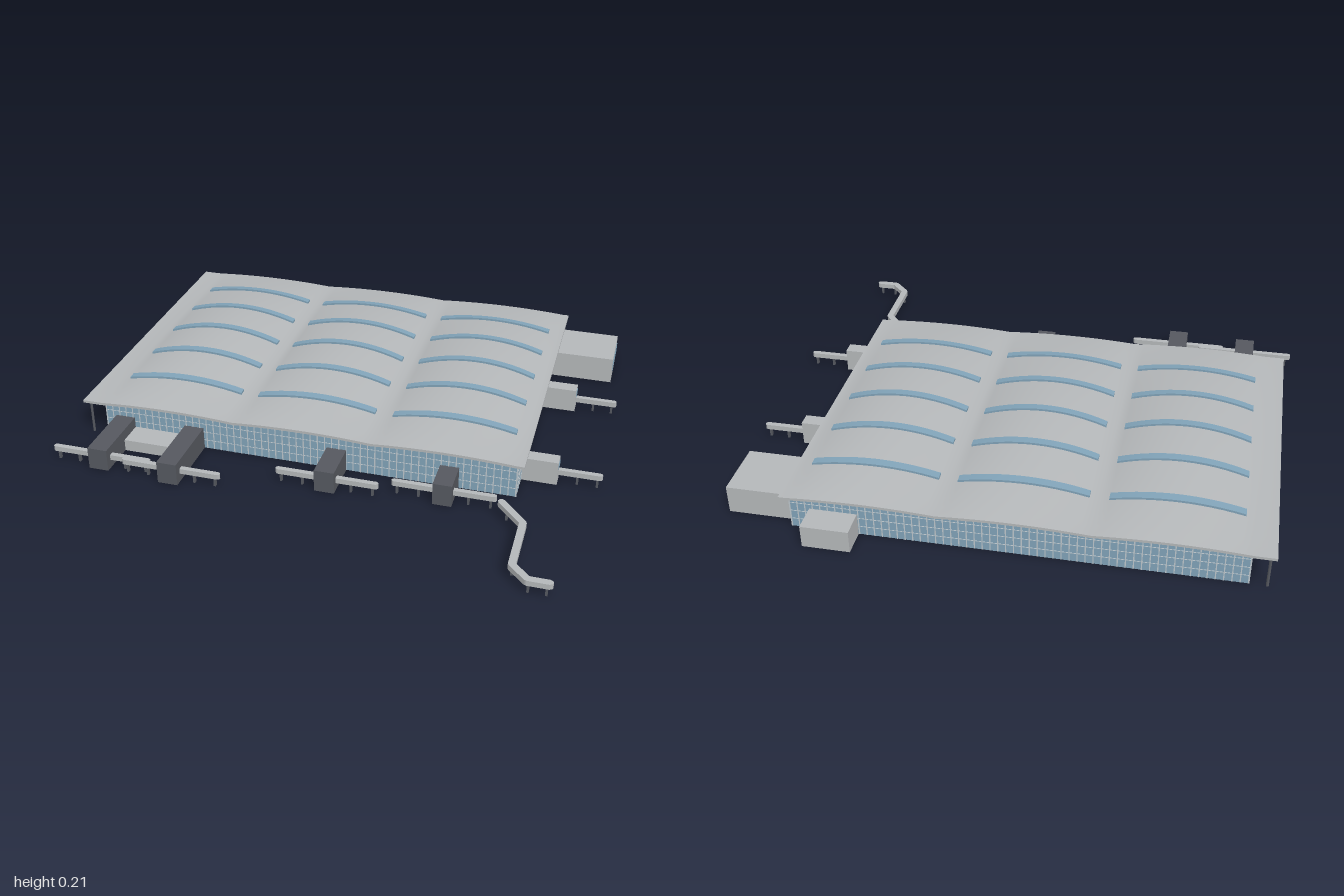
import * as THREE from 'three';
import { mergeGeometries } from 'three/addons/utils/BufferGeometryUtils.js';

const paint = (name, color) => {
  const m = new THREE.MeshStandardMaterial({ color });
  m.name = name;
  return m;
};

// Overall layout
const VAULTS = [-0.623, -0.09, 0.443];       // vault centre lines
const HALF = 0.2665;                         // half a vault's span
const ROOF = { x0: -0.965, x1: 0.735, z0: -0.84, z1: 0.405 };
const WALL = { x0: -0.885, x1: 0.71, z0: -0.81, z1: 0.38 };
const EAVE = 0.146;

// Roof height: vaults across x, whose crowns sink towards both ends in z
function roofY(x, z) {
  const u = (z - (ROOF.z0 + ROOF.z1) / 2) / ((ROOF.z1 - ROOF.z0) / 2);
  const rise = 0.010 + 0.047 * (1 - u * u);
  let y = EAVE;
  for (const c of VAULTS) {
    const t = (x - c) / HALF;
    if (Math.abs(t) < 1) y = EAVE + rise * (1 - t * t);
  }
  return y;
}

// Box given by its limits
function block(x0, x1, y0, y1, z0, z1) {
  return new THREE.BoxGeometry(x1 - x0, y1 - y0, z1 - z0)
    .translate((x0 + x1) / 2, (y0 + y1) / 2, (z0 + z1) / 2);
}

// Lay a flat box over the roof by lifting its vertices
function drape(geo) {
  const p = geo.attributes.position;
  for (let i = 0; i < p.count; i++) p.setY(i, p.getY(i) + roofY(p.getX(i), p.getZ(i)));
  geo.computeVertexNormals();
  return geo;
}

export function createModel() {
  const model = new THREE.Group();
  model.name = 'terminal';
  const grey = paint('light grey', 0xb4b7b9);
  const glass = paint('blue glass', 0x80a2b7);
  const frame = paint('pale frame', 0xbcc6cc);
  const dark = paint('dark grey', 0x55585f);

  const add = (name, geo, mat, parent = model) => {
    const mesh = new THREE.Mesh(geo, mat);
    mesh.name = name;
    parent.add(mesh);
    return mesh;
  };

  // Roof slab: grid columns are placed to meet the vault valleys exactly
  const n = 14;
  const columns = [ROOF.x0];
  for (let i = 0; i <= 3 * n; i++) columns.push(VAULTS[0] - HALF + (i * 2 * HALF) / n);
  columns.push(ROOF.x1);
  const segs = columns.length - 1;
  const roof = new THREE.BoxGeometry(segs, 0.01, ROOF.z1 - ROOF.z0, segs, 1, 24);
  roof.translate(segs / 2, -0.005, (ROOF.z0 + ROOF.z1) / 2);
  const rp = roof.attributes.position;
  for (let i = 0; i < rp.count; i++) rp.setX(i, columns[Math.round(rp.getX(i))]);
  add('roof', drape(roof), grey);

  // Curved skylight strips
  const skylights = new THREE.Group();
  skylights.name = 'skylights';
  model.add(skylights);
  for (const c of VAULTS) {
    for (let i = 0; i < 5; i++) {
      const strip = new THREE.BoxGeometry(0.465, 0.016, 0.03, 16, 1, 1);
      strip.translate(c, 0, -0.637 + i * 0.209);
      add('skylight', drape(strip), glass, skylights);
    }
  }

  // End walls follow the vaults, side walls are straight
  for (const [name, z] of [['frontWall', WALL.z1 - 0.008], ['backWall', WALL.z0]]) {
    const s = new THREE.Shape();
    s.moveTo(WALL.x0, 0);
    s.lineTo(WALL.x1, 0);
    for (let i = 60; i >= 0; i--) {
      const x = WALL.x0 + ((WALL.x1 - WALL.x0) * i) / 60;
      s.lineTo(x, roofY(x, z) - 0.006);
    }
    s.closePath();
    const g = new THREE.ExtrudeGeometry(s, { depth: 0.008, bevelEnabled: false });
    add(name, g.translate(0, 0, z), glass);
  }
  add('rightWall', block(WALL.x0, WALL.x0 + 0.008, 0, 0.14, WALL.z0, WALL.z1), glass);
  add('leftWall', block(WALL.x1 - 0.008, WALL.x1, 0, 0.14, WALL.z0, WALL.z1), glass);

  // Window frames on all four walls
  const bars = [];
  const t = 0.0015, w = 0.002;
  const uprights = (a, b, put) => {
    const count = Math.round((b - a) / 0.0275);
    for (let i = 0; i <= count; i++) put(a + ((b - a) * i) / count);
  };
  const rails = [0.035, 0.07, 0.105];
  for (const z of [WALL.z0, WALL.z1]) {
    uprights(WALL.x0 + w, WALL.x1 - w, x => bars.push(block(x - w, x + w, 0, 0.137, z - t, z + t)));
    for (const y of rails) bars.push(block(WALL.x0, WALL.x1, y - 0.001, y + 0.001, z - t, z + t));
  }
  for (const x of [WALL.x0, WALL.x1]) {
    uprights(WALL.z0 + w, WALL.z1 - w, z => bars.push(block(x - t, x + t, 0, 0.137, z - w, z + w)));
    for (const y of rails) bars.push(block(x - t, x + t, y - 0.001, y + 0.001, WALL.z0, WALL.z1));
  }
  add('windowFrames', mergeGeometries(bars), frame);

  // Posts carrying the canopy on the right side
  const posts = [];
  for (let i = 0; i < 9; i++) {
    posts.push(new THREE.CylinderGeometry(0.005, 0.005, 0.14, 8).translate(-0.945, 0.07, -0.81 + i * 0.149));
  }
  add('canopyPosts', mergeGeometries(posts), dark);

  // Dark gate houses along the front: x0, x1, front z
  for (const [x0, x1, z] of [[-0.843, -0.767, 0.627], [-0.56, -0.484, 0.645], [0.003, 0.078, 0.54], [0.43, 0.5, 0.505]]) {
    add('frontGate', block(x0, x1, 0, 0.086, WALL.z1, z), dark);
  }
  add('frontAnnex', block(-0.767, -0.56, 0, 0.045, WALL.z1, 0.48), grey);

  // Light gate houses on the left side
  for (const z of [-0.303, 0.238]) {
    add('sideGate', block(WALL.x1, 0.84, 0, 0.093, z - 0.027, z + 0.027), grey);
    add('sideGateWindow', block(0.838, 0.842, 0.06, 0.082, z - 0.018, z + 0.018), glass);
  }

  // Annexes with window strips
  add('sideAnnex', block(WALL.x1, 0.957, 0, 0.107, -0.777, -0.555), grey);
  add('sideAnnexWindow', block(0.955, 0.959, 0.042, 0.08, -0.767, -0.577), glass);
  add('backAnnex', block(0.465, 0.638, 0, 0.086, -0.91, WALL.z0), grey);
  add('backAnnexWindow', block(0.636, 0.64, 0.03, 0.062, -0.9, -0.825), glass);

  // Boarding bridges: raised tubes along a path of [x, z] points, on thin legs
  function bridge(path, width, legs) {
    const group = new THREE.Group();
    group.name = 'boardingBridge';
    model.add(group);
    const parts = [], struts = [];
    path.forEach(([x, z], i) => {
      parts.push(new THREE.CylinderGeometry(width / 2, width / 2, 0.02, 8).translate(x, 0.043, z));
      if (i === 0) return;
      const [px, pz] = path[i - 1];
      const dx = x - px, dz = z - pz;
      parts.push(new THREE.BoxGeometry(Math.hypot(dx, dz), 0.02, width)
        .rotateY(-Math.atan2(dz, dx)).translate((x + px) / 2, 0.043, (z + pz) / 2));
    });
    for (const [x, z] of legs) struts.push(block(x - 0.004, x + 0.004, 0, 0.034, z - 0.006, z + 0.006));
    add('bridgeTube', mergeGeometries(parts), grey, group);
    add('bridgeLegs', mergeGeometries(struts), dark, group);
  }

  // Straight bridges in front of each gate, and out from the side gates
  for (const [x0, x1, z] of [[-0.99, -0.62, 0.592], [-0.705, -0.34, 0.607], [-0.142, 0.225, 0.51], [0.283, 0.645, 0.47]]) {
    bridge([[x0, z], [x1, z]], 0.02, [0.03, 0.25, 0.75, 0.97].map(f => [x0 + (x1 - x0) * f, z]));
  }
  for (const z of [-0.303, 0.238]) {
    bridge([[0.83, z], [0.99, z]], 0.02, [[0.91, z], [0.982, z]]);
  }

  // Bent bridge at the front corner
  bridge([[0.675, 0.495], [0.766, 0.6], [0.766, 0.832], [0.825, 0.892], [0.897, 0.892]], 0.026,
    [[0.7, 0.525], [0.766, 0.62], [0.766, 0.82], [0.83, 0.892], [0.89, 0.892]]);

  return model;
}
